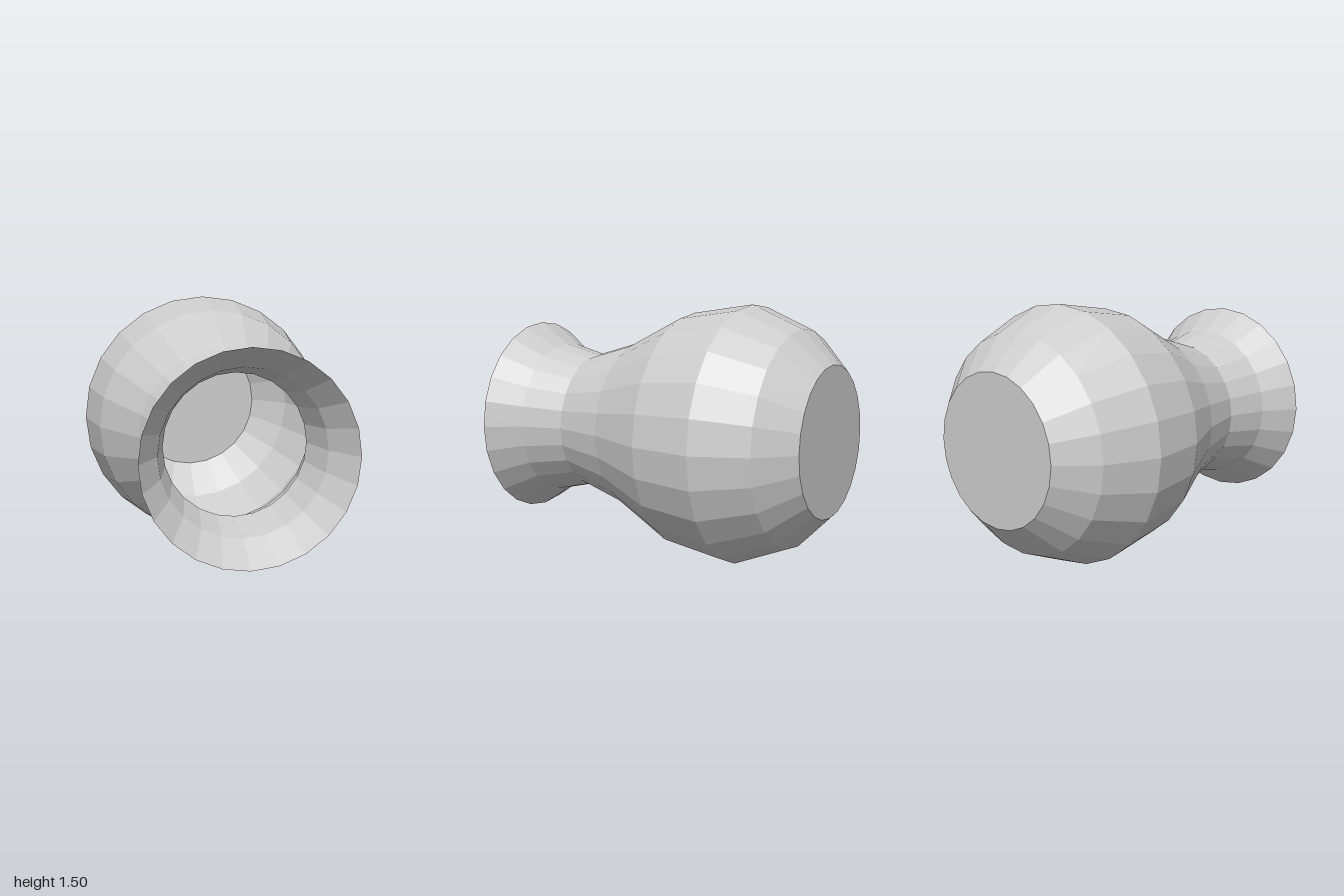
import * as THREE from 'three';

const SIDES = 24;
const AXIS_HEIGHT = 0.75;

// Vase profile from the closed base to the flared mouth: [radius, z]
const PROFILE = [
  [0.435, -1], [0.625, -0.81], [0.75, -0.5], [0.69, -0.125],
  [0.5, 0.25], [0.405, 0.565], [0.465, 0.81], [0.59, 1],
];

export function createModel() {
  const model = new THREE.Group();
  model.name = 'vase';
  const clay = new THREE.MeshStandardMaterial({
    color: 0xcccccc, flatShading: true, side: THREE.DoubleSide,
  });
  clay.name = 'pale grey';

  // Thin open wall, lying on its side with the mouth to the front
  const wallShape = new THREE.LatheGeometry(PROFILE.map(([r, z]) => new THREE.Vector2(r, z)), SIDES);
  wallShape.rotateX(Math.PI / 2);
  const wall = new THREE.Mesh(wallShape, clay);
  wall.name = 'vaseWall';

  // Flat base closing the back
  const base = new THREE.Mesh(new THREE.CircleGeometry(PROFILE[0][0], SIDES), clay);
  base.name = 'vaseBase';
  base.position.z = PROFILE[0][1];

  model.add(wall, base);
  model.children.forEach((part) => { part.position.y = AXIS_HEIGHT; });
  return model;
}
